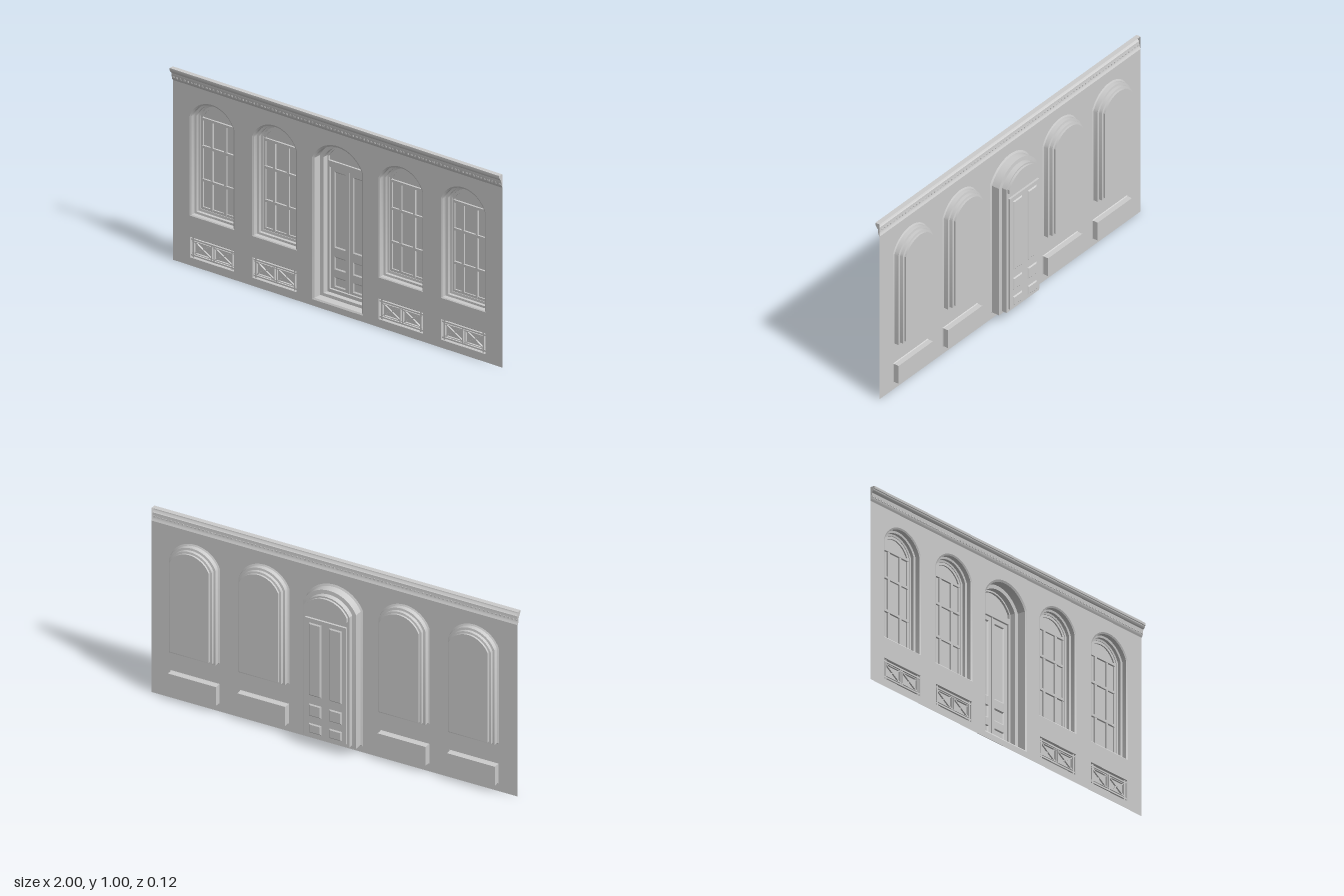
import * as THREE from 'three';
import { toCreasedNormals } from 'three/addons/utils/BufferGeometryUtils.js';

const mat = new THREE.MeshStandardMaterial({ color: 0xcccccc, side: THREE.DoubleSide });
const WALL_Z = 0.035;

function add(parent, geo, name, x = 0, y = 0, z = 0) {
  const m = new THREE.Mesh(geo, mat);
  m.name = name;
  m.position.set(x, y, z);
  parent.add(m);
  return m;
}
const bar = (parent, name, w, h, d, x, y, z) => add(parent, new THREE.BoxGeometry(w, h, d), name, x, y, z);

// Outlines run counter-clockwise seen from the front
function rect(x0, x1, y0, y1) {
  return [[x0, y0], [x1, y0], [x1, y1], [x0, y1]].map(p => new THREE.Vector2(...p));
}

// Segmental arch opening, inset evenly by d from half width hw and radius r
function arch(hw, bottom, top, r, d = 0) {
  const cy = top - r, w = hw - d, rad = r - d;
  const a0 = Math.acos(w / rad), pts = [new THREE.Vector2(-w, bottom), new THREE.Vector2(w, bottom)];
  const n = 20;
  for (let i = 0; i <= n; i++) {
    const a = a0 + (Math.PI - 2 * a0) * i / n;
    pts.push(new THREE.Vector2(rad * Math.cos(a), cy + rad * Math.sin(a)));
  }
  return pts;
}

// Skin between rings of Vector3
function loft(rings, closed = true) {
  const pos = [];
  for (let r = 0; r < rings.length - 1; r++) {
    const A = rings[r], B = rings[r + 1], n = A.length;
    for (let k = 0; k < (closed ? n : n - 1); k++) {
      const j = (k + 1) % n;
      for (const p of [A[k], A[j], B[j], A[k], B[j], B[k]]) pos.push(p.x, p.y, p.z);
    }
  }
  const g = new THREE.BufferGeometry();
  g.setAttribute('position', new THREE.Float32BufferAttribute(pos, 3));
  g.computeVertexNormals();
  return toCreasedNormals(g, 0.45);
}
const at = (pts, z) => pts.map(p => new THREE.Vector3(p.x, p.y, z));

// Flat sheet with holes
function sheet(outline, holes = []) {
  const s = new THREE.Shape(outline);
  s.holes = holes.map(h => new THREE.Path(h));
  return new THREE.ShapeGeometry(s);
}
const shift = (pts, x) => pts.map(p => new THREE.Vector2(p.x + x, p.y));

const windowOutline = (d, bottom) => arch(0.136, bottom, 0.866, 0.145, d);
const doorOutline = (d, bottom) => arch(0.155, bottom, 0.866, 0.17, d);
const ventOutline = d => rect(-0.134 + d, 0.134 - d, 0.041 + d, 0.149 - d);

function makeWindow() {
  const g = new THREE.Group();
  g.name = 'window';
  // Stepped reveal
  const steps = [[0, 0.257, 0.035], [0.008, 0.262, 0.031], [0.008, 0.262, 0.008], [0.019, 0.272, 0.006],
    [0.019, 0.272, -0.01], [0.029, 0.284, -0.012], [0.029, 0.284, -0.022]];
  add(g, loft(steps.map(([d, b, z]) => at(windowOutline(d, b), z))), 'windowReveal');
  add(g, sheet(windowOutline(0.029, 0.284)), 'windowPane', 0, 0, -0.022);
  // Sash frame and glazing bars
  const inner = windowOutline(0.042, 0.296);
  add(g, sheet(windowOutline(0.029, 0.284), [inner]), 'sashFrame', 0, 0, -0.015);
  add(g, loft([at(inner, -0.015), at(inner, -0.022)]), 'sashEdge');
  for (const x of [-0.042, 0.042]) bar(g, 'verticalGlazingBar', 0.014, 0.465, 0.009, x, 0.522, -0.0175);
  for (const y of [0.435, 0.608, 0.752]) bar(g, 'horizontalGlazingBar', 0.2, 0.013, 0.01, 0, y, -0.017);
  return g;
}

function makeVent() {
  const g = new THREE.Group();
  g.name = 'vent';
  // Shallow box recess
  add(g, loft([[0, 0.035], [0.003, 0.031], [0.003, 0.004]].map(([d, z]) => at(ventOutline(d), z))), 'ventReveal');
  add(g, sheet(ventOutline(0.003)), 'ventBack', 0, 0, 0.004);
  // Grille of crossing bars
  const z = 0.025, cy = 0.095;
  for (const s of [-1, 1]) {
    bar(g, 'grilleRail', 0.262, 0.008, 0.012, 0, cy + s * 0.041, z);
    bar(g, 'grilleInnerRail', 0.25, 0.004, 0.01, 0, cy + s * 0.031, z);
    bar(g, 'grilleStile', 0.008, 0.102, 0.012, s * 0.118, cy, z);
    bar(g, 'grilleMiddleStile', 0.006, 0.09, 0.011, s * 0.007, cy, z);
    for (const t of [-1, 1]) {
      const b = bar(g, 'grilleDiagonal', 0.119, 0.006, 0.008, s * 0.0625, cy, z - 0.001 * (t + 1));
      b.rotation.z = t * Math.atan2(0.062, 0.104);
    }
  }
  return g;
}

function makeDoor() {
  const g = new THREE.Group();
  g.name = 'door';
  // Stepped reveal
  const steps = [[0, 0.032, 0.035], [0.01, 0.04, 0.03], [0.01, 0.04, -0.013], [0.03, 0.055, -0.015], [0.03, 0.055, -0.042]];
  add(g, loft(steps.map(([d, b, z]) => at(doorOutline(d, b), z))), 'doorReveal');
  // Door frame with leaf opening and fanlight
  const leaves = rect(-0.112, 0.112, 0.072, 0.703);
  const fan = doorOutline(0.038, 0.735);
  add(g, sheet(doorOutline(0.03, 0.055), [leaves, fan]), 'doorFrame', 0, 0, -0.042);
  for (const [o, n] of [[leaves, 'leafRebate'], [fan, 'fanlightRebate']])
    add(g, loft([at(o, -0.042), at(o, -0.053)]), n);
  add(g, sheet(fan), 'fanlight', 0, 0, -0.053);
  // Leaves with sunken panels
  const holes = [];
  for (const s of [-1, 1])
    for (const [y0, y1] of [[0.08, 0.135], [0.17, 0.24], [0.282, 0.68]])
      holes.push(rect(s * 0.056 - 0.034, s * 0.056 + 0.034, y0 + 0.004, y1));
  add(g, sheet(leaves, holes), 'doorLeaves', 0, 0, -0.053);
  for (const h of holes) {
    const c = new THREE.Vector2().addVectors(h[0], h[2]).multiplyScalar(0.5);
    const small = h.map(p => new THREE.Vector2(p.x - Math.sign(p.x - c.x) * 0.006, p.y - Math.sign(p.y - c.y) * 0.006));
    add(g, loft([at(h, -0.053), at(small, -0.058)]), 'panelBevel');
    add(g, sheet(small), 'doorPanel', 0, 0, -0.058);
  }
  bar(g, 'meetingStile', 0.007, 0.63, 0.005, 0, 0.388, -0.0505);
  return g;
}

function makeCornice() {
  const g = new THREE.Group();
  g.name = 'cornice';
  // Moulding profile as [z, y], from the wall up and back over the top
  const profile = [[0.035, 0.93], [0.039, 0.936], [0.042, 0.945], [0.044, 0.955], [0.045, 0.97], [0.05, 0.974],
    [0.054, 0.979], [0.056, 0.986], [0.06, 0.987], [0.06, 1], [0.035, 1]];
  const ring = x => profile.map(([z, y]) => new THREE.Vector3(x, y, z));
  add(g, loft([ring(1), ring(-1)], false), 'corniceMoulding');
  const end = sheet(profile.map(([z, y]) => new THREE.Vector2(-z, y)));
  end.rotateY(Math.PI / 2);
  for (const s of [-1, 1]) add(g, end, 'corniceEnd', s);
  // Fine row of dentils
  const n = 90;
  const dentil = new THREE.BoxGeometry(0.01, 0.008, 0.004);
  for (let i = 0; i < n; i++) add(g, dentil, 'dentil', -1 + (i + 0.5) * 2 / n, 0.951, 0.0435);
  return g;
}

export function createModel() {
  const model = new THREE.Group();
  model.name = 'shopfrontFacade';
  const bays = [-0.762, -0.383, 0.383, 0.762];
  // Wall sheet with all openings
  const holes = [doorOutline(0, 0.032)];
  for (const x of bays) holes.push(shift(windowOutline(0, 0.257), x), shift(ventOutline(0), x));
  add(model, sheet(rect(-1, 1, 0, 0.93), holes), 'wall', 0, 0, WALL_Z);
  for (const x of bays)
    for (const part of [makeWindow(), makeVent()]) {
      part.position.x = x;
      model.add(part);
    }
  model.add(makeDoor(), makeCornice());
  return model;
}
